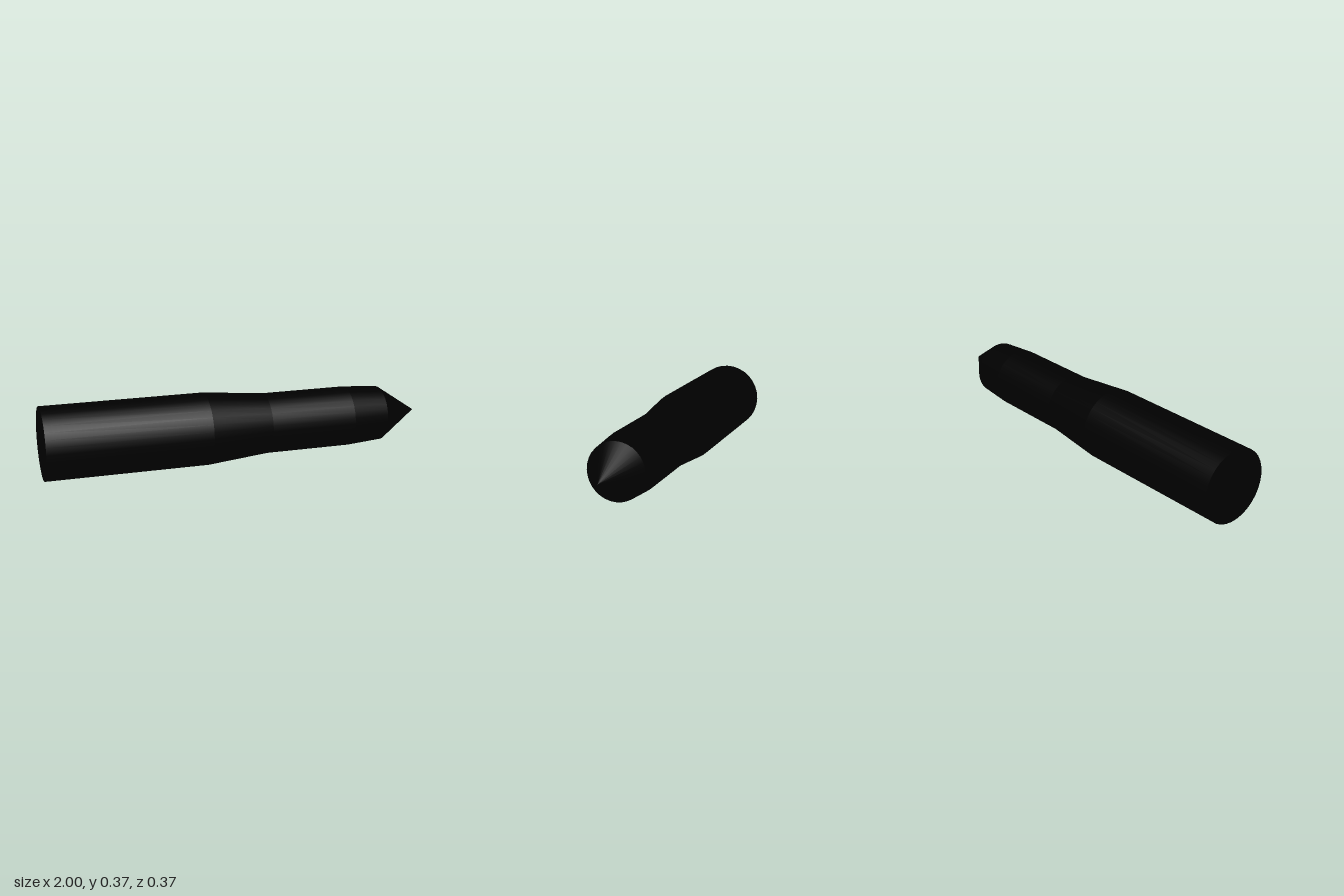
import * as THREE from 'three';

const SIDES = 32;
const RADIUS = 0.186;

export function createModel() {
  const model = new THREE.Group();
  model.name = 'pointedRod';
  const material = new THREE.MeshStandardMaterial({ color: 0x000000 });

  // One round section lying along x, from x0 (radius r0) to x1 (radius r1)
  function section(name, x0, r0, x1, r1) {
    const geometry = new THREE.CylinderGeometry(r1, r0, x1 - x0, SIDES, 1, true);
    geometry.rotateZ(-Math.PI / 2);
    geometry.translate((x0 + x1) / 2, RADIUS, 0);
    const mesh = new THREE.Mesh(geometry, material);
    mesh.name = name;
    model.add(mesh);
  }

  // Body from the flat tail to the pointed tip
  section('body', -1, RADIUS, -0.17, RADIUS);
  section('shoulder', -0.17, RADIUS, 0.15, 0.156);
  section('neck', 0.15, 0.156, 0.6, 0.156);
  section('collar', 0.6, 0.156, 0.79, 0.142);
  section('tip', 0.79, 0.142, 1, 0);

  // Flat disc closing the tail
  const disc = new THREE.CircleGeometry(RADIUS, SIDES);
  disc.rotateY(-Math.PI / 2);
  disc.translate(-1, RADIUS, 0);
  const tail = new THREE.Mesh(disc, material);
  tail.name = 'tailCap';
  model.add(tail);

  return model;
}
